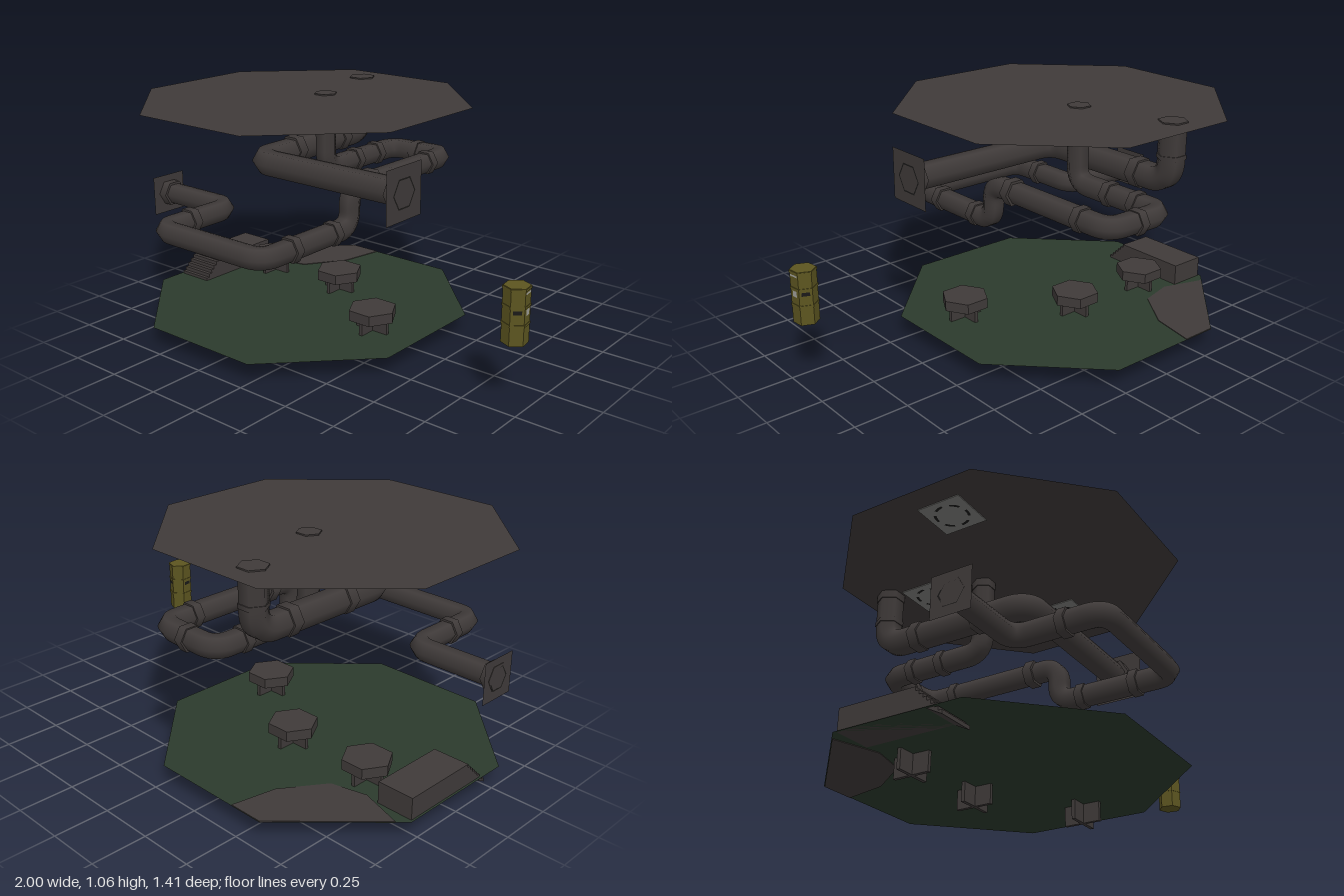
import * as THREE from 'three';

const mat = (name, color, side = THREE.FrontSide) => {
  const m = new THREE.MeshStandardMaterial({ color, side });
  m.name = name;
  return m;
};

export function createModel() {
  const root = new THREE.Group();
  root.name = 'pipeRoom';
  const metal = mat('dark metal', 0x3f3a39, THREE.DoubleSide);
  const green = mat('dark green', 0x2b3a2c, THREE.DoubleSide);
  const olive = mat('olive', 0x5c5520);
  const lamp = mat('lamp grey', 0x7c7c79, THREE.DoubleSide);
  const black = mat('near black', 0x1a1918, THREE.DoubleSide);
  const label = mat('label grey', 0xa0a09a, THREE.DoubleSide);
  const CX = -0.295;

  const add = (name, geo, material, x = 0, y = 0, z = 0, parent = root) => {
    const m = new THREE.Mesh(geo, material);
    m.name = name;
    m.position.set(x, y, z);
    parent.add(m);
    return m;
  };

  // Octagonal floor and ceiling sheets
  const octagon = new THREE.CircleGeometry(0.763, 8, Math.PI / 8).rotateX(-Math.PI / 2);
  add('floor', octagon, green, CX, 0.087, 0);
  add('ceiling', octagon, metal, CX, 1.05, 0);

  // Bare patch on the floor's back corner, outlined as [x, z]
  const patch = new THREE.Shape([
    [-0.13, -0.703], [-0.29, -0.703], [-0.66, -0.333], [-0.46, -0.27], [-0.3, -0.31], [-0.17, -0.5],
  ].map(([x, z]) => new THREE.Vector2(x, -z)));
  const patchGeo = new THREE.ExtrudeGeometry(patch, { depth: 0.006, bevelEnabled: false }).rotateX(-Math.PI / 2);
  add('floorPatch', patchGeo, metal, CX, 0.084, 0);

  // Hexagonal tables on crossed legs
  for (const [x, z] of [[0.18, 0.105], [-0.245, -0.175], [-0.67, -0.175]]) {
    const table = new THREE.Group();
    table.name = 'table';
    table.position.set(x, 0, z);
    root.add(table);
    add('tableTop', new THREE.CylinderGeometry(0.11, 0.11, 0.047, 6, 1, false, Math.PI / 2).toNonIndexed(), metal, 0, 0.1705, 0, table)
      .geometry.computeVertexNormals();
    add('legPlate', new THREE.BoxGeometry(0.168, 0.15, 0.016), metal, 0, 0.075, 0, table);
    add('crossLegPlate', new THREE.BoxGeometry(0.016, 0.15, 0.168), metal, 0, 0.075, 0, table);
  }

  // Staircase rising to a landing, drawn as a side profile (z, y)
  const steps = 8, rise = 0.135 / steps, run = 0.14 / steps;
  const profile = new THREE.Shape();
  profile.moveTo(-0.28, 0.087);
  profile.lineTo(0.13, 0.087);
  profile.lineTo(0.2, 0.05);
  for (let i = 0; i < steps; i++) {
    profile.lineTo(0.2 - i * run, 0.05 + (i + 1) * rise);
    profile.lineTo(0.2 - (i + 1) * run, 0.05 + (i + 1) * rise);
  }
  profile.lineTo(-0.28, 0.185);
  const stairGeo = new THREE.ExtrudeGeometry(profile, { depth: 0.17, bevelEnabled: false }).rotateY(-Math.PI / 2);
  add('stairsAndLanding', stairGeo, metal, -0.82, 0, 0);

  // Path through corner points with rounded bends
  const roundedPath = (pts, bend) => {
    const p = pts.map((a) => new THREE.Vector3(...a));
    const path = new THREE.CurvePath();
    let from = p[0];
    for (let i = 1; i < p.length - 1; i++) {
      const a = p[i].clone().add(p[i - 1].clone().sub(p[i]).setLength(bend));
      const b = p[i].clone().add(p[i + 1].clone().sub(p[i]).setLength(bend));
      path.add(new THREE.LineCurve3(from, a));
      path.add(new THREE.QuadraticBezierCurve3(a, p[i].clone(), b));
      from = b;
    }
    path.add(new THREE.LineCurve3(from, p[p.length - 1]));
    return path;
  };

  // Hexagonal collar around a pipe running along the given axis
  const collar = (axis, x, y, z, r, len) => {
    const g = new THREE.CylinderGeometry(r, r, len, 6, 1, false, Math.PI / 2);
    if (axis === 'x') g.rotateY(Math.PI / 2).rotateZ(Math.PI / 2);
    if (axis === 'z') g.rotateX(Math.PI / 2);
    add('pipeCollar', g, metal, x, y, z);
  };

  const pipe = (name, pts, r, bend) =>
    add(name, new THREE.TubeGeometry(roundedPath(pts, bend), 240, r, 6, false), metal);

  // Wide upper pipe
  pipe('upperPipe', [
    [0.405, 0.78, 0.19], [-0.415, 0.78, 0.19], [-0.415, 0.785, -0.56], [-0.415, 1.056, -0.56],
  ], 0.06, 0.1);
  collar('x', 0.38, 0.78, 0.19, 0.076, 0.05);
  for (const z of [-0.055, -0.38]) collar('z', -0.415, 0.785, z, 0.068, 0.05);
  collar('y', -0.415, 1.035, -0.56, 0.064, 0.042);
  collar('y', -0.415, 0.9, -0.56, 0.064, 0.02);

  // Narrow winding pipe
  pipe('windingPipe', [
    [-1, 0.53, 0.22], [-0.58, 0.53, 0.22], [-0.58, 0.53, 0.635], [0.03, 0.53, 0.635],
    [0.03, 0.53, 0.08], [0.03, 0.705, 0.08], [0.03, 0.705, -0.645], [-0.285, 0.7, -0.645],
    [-0.285, 0.7, -0.13], [-0.285, 1.056, -0.13],
  ], 0.05, 0.08);
  collar('x', -0.978, 0.53, 0.22, 0.062, 0.044);
  collar('z', -0.58, 0.53, 0.46, 0.06, 0.04);
  collar('z', 0.03, 0.53, 0.46, 0.06, 0.04);
  collar('z', 0.03, 0.53, 0.2, 0.057, 0.04);
  collar('z', 0.03, 0.705, -0.06, 0.063, 0.045);
  collar('z', 0.03, 0.705, -0.49, 0.058, 0.04);
  collar('x', -0.13, 0.7, -0.645, 0.058, 0.04);
  for (const z of [-0.5, -0.34]) collar('z', -0.285, 0.7, z, 0.058, 0.04);
  collar('y', -0.285, 1.035, -0.13, 0.054, 0.042);

  // Square wall plates at the pipe ends, with a dark hexagonal outline
  for (const [dir, x, y, z, size, r] of [[1, 0.405, 0.78, 0.19, 0.235, 0.075], [-1, -0.998, 0.525, 0.222, 0.185, 0.06]]) {
    add('wallPlate', new THREE.PlaneGeometry(size, size).rotateY(dir * Math.PI / 2), metal, x, y, z);
    add('plateRing', new THREE.RingGeometry(r - 0.008, r, 6).rotateY(dir * Math.PI / 2), black, x + dir * 0.002, y, z);
  }

  // Square ceiling lamps with a broken dark ring
  for (const [x, z] of [[0.431, 0.045], [-0.027, -0.39], [-0.5, 0.06]]) {
    add('ceilingLamp', new THREE.BoxGeometry(0.2, 0.004, 0.2), lamp, CX + x, 1.046, z);
    for (let i = 0; i < 6; i++) {
      const arc = new THREE.RingGeometry(0.064, 0.076, 3, 1, i * Math.PI / 3, 0.6).rotateX(Math.PI / 2);
      add('lampRingDash', arc, black, CX + x, 1.0425, z);
    }
  }

  // Hexagonal barrel with bands and labels
  const barrel = new THREE.Group();
  barrel.name = 'barrel';
  barrel.position.set(0.943, 0, 0.185);
  barrel.rotation.y = 0.12;
  root.add(barrel);
  const hex = (r, h) => {
    const g = new THREE.CylinderGeometry(r, r, h, 6).toNonIndexed();
    g.computeVertexNormals();
    return g;
  };
  add('barrelBody', hex(0.055, 0.238), olive, 0, 0.4, 0, barrel);
  for (const y of [0.365, 0.44, 0.512]) add('barrelBand', hex(0.0575, 0.01), olive, 0, y, 0, barrel);
  for (let i = 0; i < 6; i++) {
    const face = new THREE.Group();
    face.name = 'barrelFace';
    face.rotation.y = Math.PI / 6 + i * Math.PI / 3;
    barrel.add(face);
    if (i % 2 === 0) add('barrelMark', new THREE.PlaneGeometry(0.035, 0.016), black, 0, 0.42, 0.0485, face);
    if (i === 1) {
      add('barrelLabel', new THREE.PlaneGeometry(0.026, 0.026), label, 0, 0.417, 0.0485, face);
      add('barrelStrip', new THREE.PlaneGeometry(0.045, 0.008), label, 0, 0.497, 0.0485, face);
    }
  }
  return root;
}
